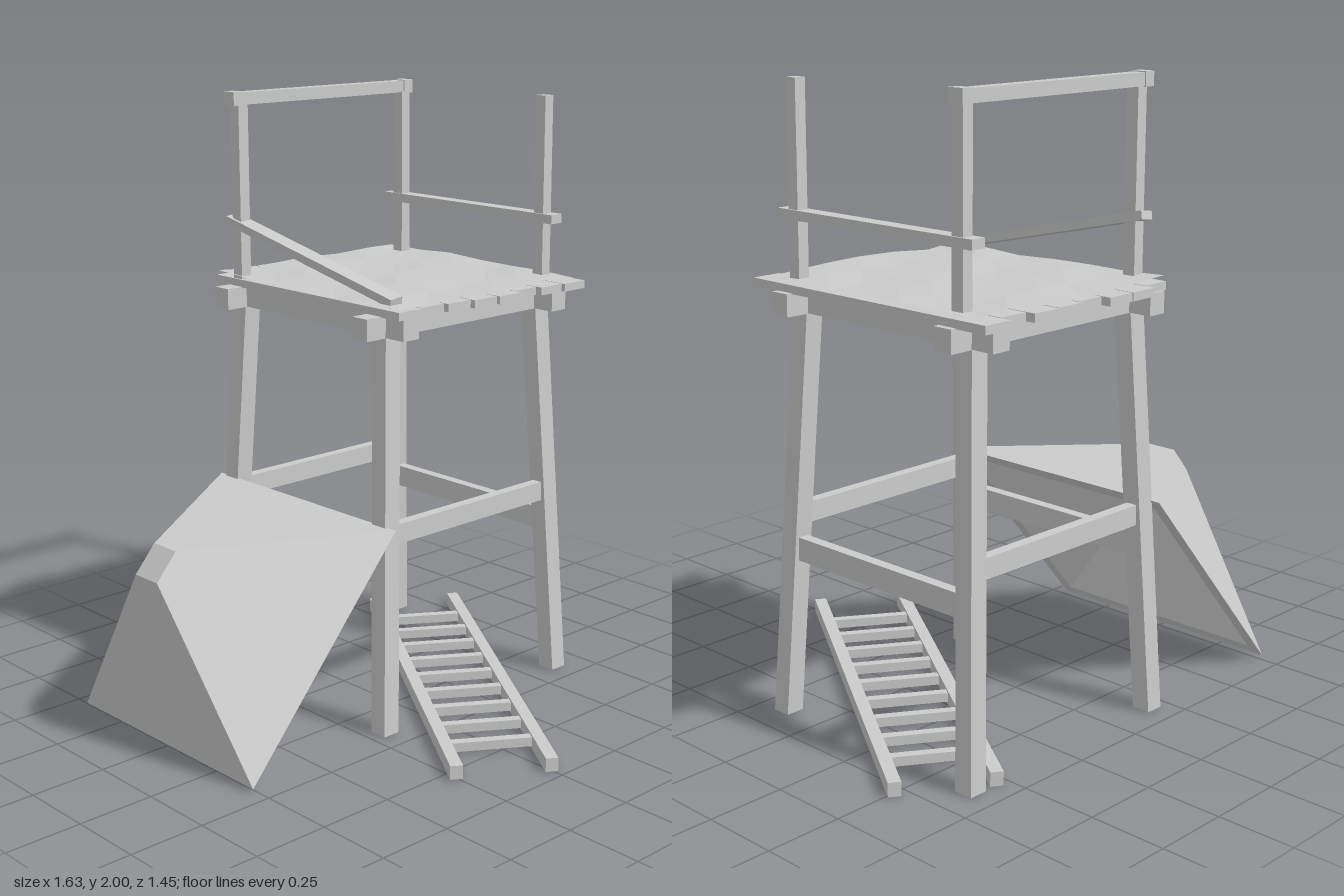
import * as THREE from 'three';

const material = new THREE.MeshStandardMaterial({ color: 0xcccccc, flatShading: true });
const clothMaterial = new THREE.MeshStandardMaterial({ color: 0xcccccc, flatShading: true, side: THREE.DoubleSide });

const CX = 0.222, CZ = -0.25; // tower axis

function add(parent, name, geometry, mat = material) {
  const mesh = new THREE.Mesh(geometry, mat);
  mesh.name = name;
  parent.add(mesh);
  return mesh;
}

// Axis-aligned timber given by its limits
function timber(parent, name, [x0, x1], [y0, y1], [z0, z1]) {
  const mesh = add(parent, name, new THREE.BoxGeometry(x1 - x0, y1 - y0, z1 - z0));
  mesh.position.set((x0 + x1) / 2, (y0 + y1) / 2, (z0 + z1) / 2);
  return mesh;
}

// Straight timber between two points
function beam(parent, name, a, b, width, height) {
  const from = new THREE.Vector3(...a), to = new THREE.Vector3(...b);
  const mesh = add(parent, name, new THREE.BoxGeometry(width, height, from.distanceTo(to)));
  mesh.position.copy(from).add(to).multiplyScalar(0.5);
  mesh.lookAt(to);
  return mesh;
}

// Leaning leg with level ends
function leg(parent, sx, sz) {
  const geometry = new THREE.BoxGeometry(0.062, 1.36, 0.062).translate(0, 0.68, 0);
  const p = geometry.attributes.position;
  for (let i = 0; i < p.count; i++) {
    const t = p.getY(i) / 1.36;
    p.setX(i, p.getX(i) + CX + sx * (0.403 - 0.066 * t));
    p.setZ(i, p.getZ(i) + CZ + sz * (0.4 - 0.062 * t));
  }
  geometry.computeVertexNormals();
  add(parent, 'leg', geometry);
}

function createFrame() {
  const frame = new THREE.Group();
  frame.name = 'frame';
  for (const s of [-1, 1]) {
    leg(frame, s, -1);
    leg(frame, s, 1);
    const z = CZ + s * 0.338, x = CX + s * 0.337;
    // Beams carrying the platform
    timber(frame, 'crossBeam', [-0.227, 0.673], [1.29, 1.36], [z - 0.033, z + 0.033]);
    timber(frame, 'sideBeam', [x - 0.033, x + 0.033], [1.291, 1.359], [-0.7, 0.2]);
    // Braces between the legs
    const bz = CZ + s * 0.37, bx = CX + s * 0.376;
    timber(frame, 'crossBrace', [CX - 0.36, CX + 0.36], [0.62, 0.685], [bz - 0.018, bz + 0.018]);
    timber(frame, 'sideBrace', [bx - 0.018, bx + 0.018], [0.51, 0.585], [CZ - 0.365, CZ + 0.365]);
  }
  return frame;
}

function createPlatform() {
  const platform = new THREE.Group();
  platform.name = 'platform';
  // Planks of uneven length
  const back = [-0.69, -0.73, -0.73, -0.7, -0.715, -0.72, -0.69, -0.73];
  const front = [0.2, 0.19, 0.205, 0.22, 0.23, 0.2, 0.22, 0.23];
  back.forEach((z, i) => {
    const x = -0.167 + i * 0.103;
    timber(platform, 'plank', [x, x + 0.099], [1.358, 1.384], [z, front[i]]);
  });
  // Crumpled covering with ragged ends
  const cloth = new THREE.PlaneGeometry(0.81, 0.89, 6, 6).rotateX(-Math.PI / 2);
  const p = cloth.attributes.position;
  for (let i = 0; i < p.count; i++) {
    const x = p.getX(i), z = p.getZ(i);
    p.setY(i, 0.008 + 0.007 * Math.sin(x * 13 + z * 5) * Math.cos(z * 11 - x * 4));
    if (Math.abs(z) > 0.44) p.setZ(i, z + 0.02 * Math.sin(x * 11 + z * 3));
  }
  cloth.computeVertexNormals();
  add(platform, 'covering', cloth, clothMaterial).position.set(0.238, 1.386, CZ + 0.005);
  return platform;
}

function createRailing() {
  const railing = new THREE.Group();
  railing.name = 'railing';
  timber(railing, 'backPost', [-0.16, -0.121], [1.38, 1.96], [-0.605, -0.563]);
  timber(railing, 'backPost', [0.573, 0.611], [1.38, 1.96], [-0.605, -0.563]);
  timber(railing, 'frontPost', [0.573, 0.611], [1.38, 1.985], [0.07, 0.111]);
  timber(railing, 'topRail', [-0.172, 0.618], [1.955, 1.995], [-0.612, -0.568]);
  for (const x of [-0.165, 0.599]) {
    timber(railing, 'topRailEnd', [x - 0.014, x + 0.024], [1.953, 1.998], [-0.616, -0.562]);
  }
  timber(railing, 'sideRail', [0.567, 0.618], [1.57, 1.6], [-0.645, 0.153]);
  // Rail that has dropped at its front end
  beam(railing, 'fallenRail', [-0.143, 1.578, -0.63], [-0.122, 1.402, 0.14], 0.05, 0.028).rotateZ(0.12);
  return railing;
}

// Hollow four-sided roof lying tipped against the tower
function createRoof() {
  const profile = [[0, 0.34], [0.085, 0.34], [0.395, 0], [0.4375, 0], [0.055, 0.41], [0, 0.41]]
    .map(([r, y]) => new THREE.Vector2(r * Math.SQRT2, y));
  const roof = new THREE.Group();
  roof.name = 'fallenRoof';
  const geometry = new THREE.LatheGeometry(profile, 4, Math.PI / 4).scale(1.03, 1, 1);
  add(roof, 'roofShell', geometry);
  roof.position.set(-0.465, 0.35, -0.248);
  roof.rotation.z = 0.856;
  return roof;
}

// Ladder lying on the ground, its length along local z
function createLadder() {
  const ladder = new THREE.Group();
  ladder.name = 'ladder';
  for (const x of [-0.15, 0.15]) {
    timber(ladder, 'ladderRail', [x - 0.02, x + 0.02], [0, 0.045], [-0.735, 0.735]);
  }
  for (let i = 0; i < 9; i++) {
    const z = 0.55 - i * 0.1375;
    timber(ladder, 'rung', [-0.14, 0.14], [0.008, 0.038], [z - 0.015, z + 0.015]);
  }
  ladder.position.set(0.272, 0, 0.015);
  ladder.rotation.y = -Math.atan2(0.547, 0.837);
  return ladder;
}

export function createModel() {
  const model = new THREE.Group();
  model.name = 'watchtower';
  model.add(createFrame(), createPlatform(), createRailing(), createRoof(), createLadder());
  return model;
}
